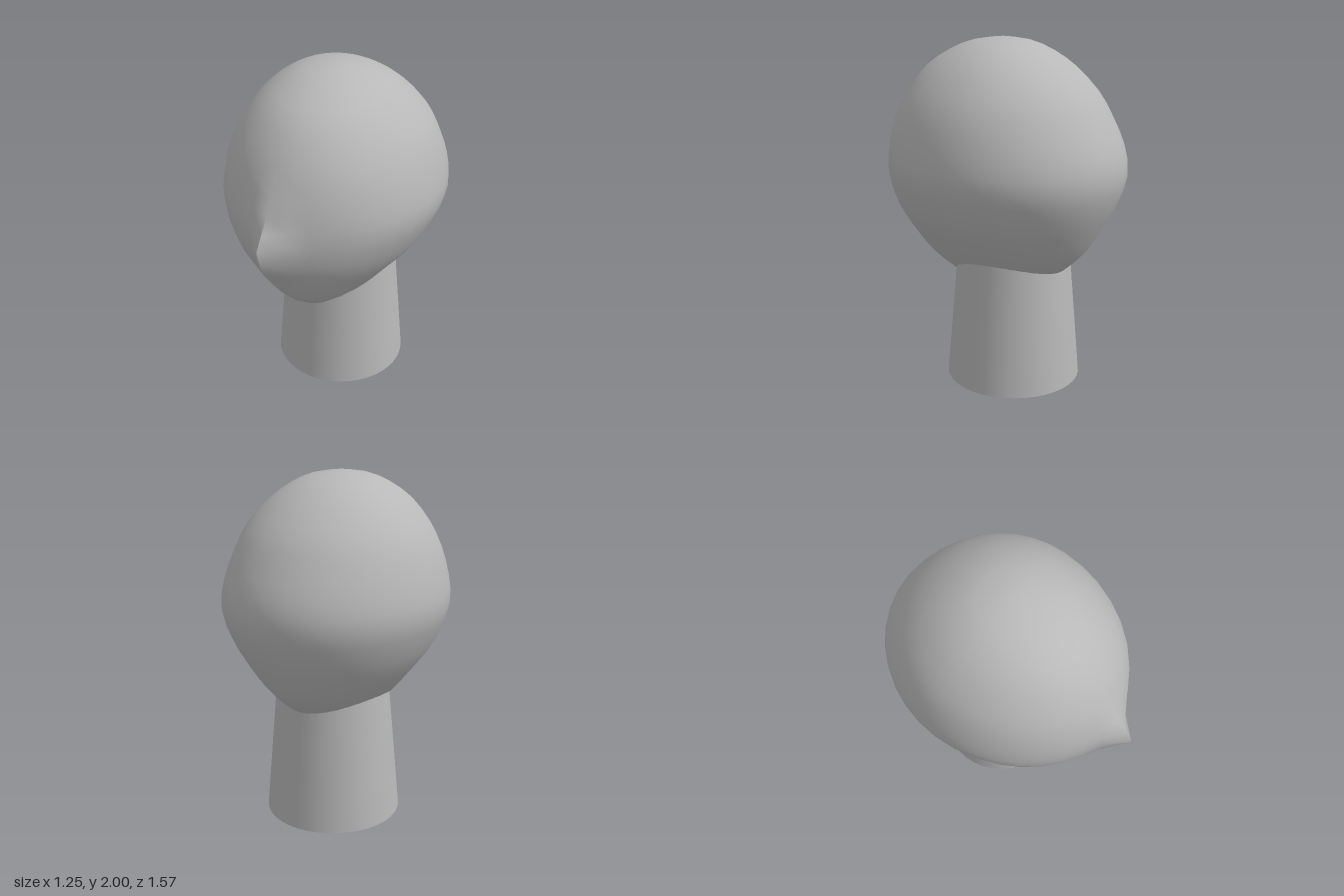
import * as THREE from 'three';

// Head rings from crown to chin: [y, half width, widest z, front z, back z, nose height]
const RINGS = [
  [2.00, 0, -0.05, -0.05, -0.05, 0],
  [1.975, 0.16, -0.05, 0.13, -0.21, 0],
  [1.92, 0.28, -0.06, 0.27, -0.34, 0],
  [1.83, 0.395, -0.07, 0.41, -0.47, 0],
  [1.70, 0.50, -0.08, 0.515, -0.60, 0],
  [1.57, 0.565, -0.08, 0.585, -0.68, 0.005],
  [1.41, 0.61, -0.08, 0.63, -0.76, 0.05],
  [1.255, 0.625, -0.08, 0.64, -0.785, 0.145],
  [1.10, 0.57, -0.08, 0.63, -0.74, 0.11],
  [0.97, 0.50, -0.08, 0.585, -0.675, 0.03],
  [0.83, 0.39, -0.08, 0.515, -0.59, 0],
  [0.73, 0.305, -0.06, 0.44, -0.50, 0],
  [0.65, 0.215, -0.05, 0.35, -0.40, 0],
  [0.59, 0.13, -0.02, 0.25, -0.27, 0],
  [0.55, 0, 0, 0, 0, 0],
];

function headGeometry(rows = 28, cols = 36) {
  const curve = (a, b, c) => new THREE.CatmullRomCurve3(
    RINGS.map(r => new THREE.Vector3(r[a], r[b], r[c])), false, 'catmullrom');
  const outline = curve(0, 1, 2), depth = curve(3, 4, 5);
  const pos = [], idx = [];
  for (let i = 0; i <= rows; i++) {
    const t = i / rows;
    const { x: y, y: w, z: mid } = outline.getPoint(t);
    const { x: front, y: back } = depth.getPoint(t);
    // nose height runs straight between rings to keep its tip sharp
    const k = Math.min(t * (RINGS.length - 1), RINGS.length - 1.001);
    const n = Math.floor(k);
    const nose = THREE.MathUtils.lerp(RINGS[n][5], RINGS[n + 1][5], k - n);
    for (let j = 0; j <= cols; j++) {
      const a = (j / cols) * Math.PI * 2;
      const x = j === cols ? 0 : Math.sin(a) * w;
      const c = Math.cos(a);
      let z = mid + c * (c > 0 ? front - mid : mid - back);
      if (c > 0) z += nose * Math.exp(-Math.abs(x) / 0.09);
      pos.push(x, y, z);
      if (i < rows && j < cols) {
        const p = i * (cols + 1) + j, q = p + cols + 1;
        if (i < rows - 1) idx.push(p, q, q + 1);
        if (i > 0) idx.push(p, q + 1, p + 1);
      }
    }
  }
  const geo = new THREE.BufferGeometry();
  geo.setAttribute('position', new THREE.Float32BufferAttribute(pos, 3));
  geo.setIndex(idx);
  geo.computeVertexNormals();
  // blend the front seam, leaving a crease only along the nose ridge
  const normal = geo.attributes.normal;
  const u = new THREE.Vector3(), v = new THREE.Vector3();
  for (let i = 0; i <= rows; i++) {
    const p = i * (cols + 1), q = p + cols, y = pos[p * 3 + 1];
    if (i === 0 || i === rows) {
      for (let j = p; j <= q; j++) normal.setXYZ(j, 0, i ? -1 : 1, 0);
    } else if (y < 0.98 || y > 1.36) {
      u.fromBufferAttribute(normal, p).add(v.fromBufferAttribute(normal, q)).normalize();
      normal.setXYZ(p, u.x, u.y, u.z);
      normal.setXYZ(q, u.x, u.y, u.z);
    }
  }
  return geo;
}

export function createModel() {
  const group = new THREE.Group();
  group.name = 'mannequinHead';
  const grey = new THREE.MeshStandardMaterial({ color: 0xb8b8b8, side: THREE.DoubleSide });
  grey.name = 'plain grey';

  const head = new THREE.Mesh(headGeometry(), grey);
  head.name = 'head';

  // open tapered tube, its top hidden inside the head
  const neck = new THREE.Mesh(new THREE.CylinderGeometry(0.318, 0.395, 0.88, 40, 1, true), grey);
  neck.name = 'neck';
  neck.position.set(0, 0.44, -0.13);

  group.add(head, neck);
  return group;
}
